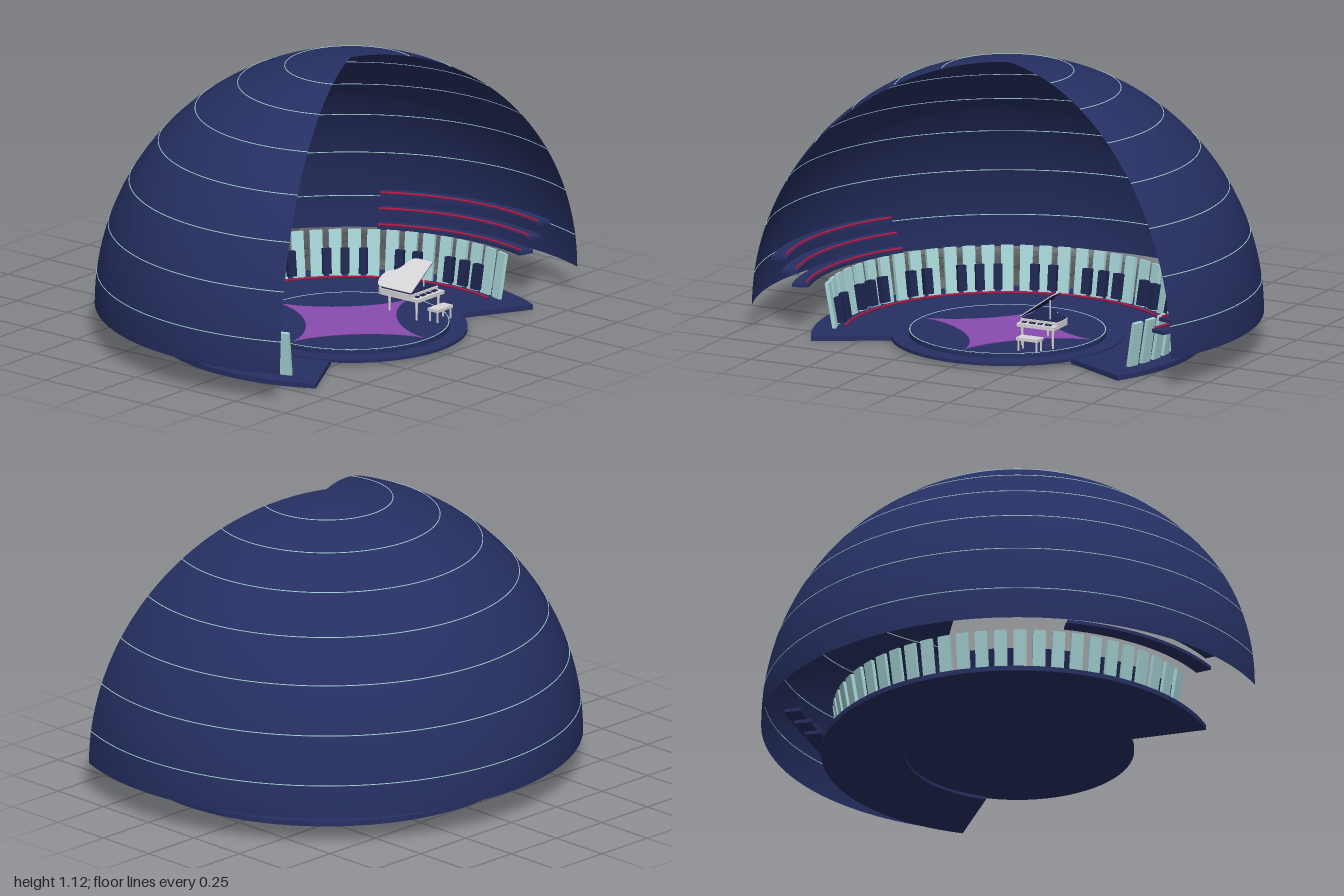
import * as THREE from 'three';

const mat = (name, color, side = THREE.FrontSide) => {
  const m = new THREE.MeshStandardMaterial({ color, side });
  m.name = name;
  return m;
};

export function createModel() {
  const navy = mat('navy', 0x262f62);
  const shellNavy = mat('shell navy', 0x262f62, THREE.DoubleSide);
  const dark = mat('dark navy', 0x1e2650);
  const aqua = mat('pale aqua', 0xa8d6d8);
  const crimson = mat('crimson', 0xa81c4a);
  const purple = mat('purple', 0x8a4bb0);
  const ivory = mat('ivory', 0xd8d6d8);

  const PI = Math.PI;
  const model = new THREE.Group();
  model.name = 'domedConcertHall';
  // Everything is laid out around the hall's axis; angles run from +x towards +z
  const hall = new THREE.Group();
  hall.name = 'hall';
  hall.position.z = 0.27;
  model.add(hall);

  const add = (parent, name, geometry, material, x = 0, y = 0, z = 0) => {
    const mesh = new THREE.Mesh(geometry, material);
    mesh.name = name;
    mesh.position.set(x, y, z);
    parent.add(mesh);
    return mesh;
  };
  const box = (parent, name, w, h, d, m, x, y, z) =>
    add(parent, name, new THREE.BoxGeometry(w, h, d), m, x, y, z);

  // Flat slab from an outline in x/z, with its top at y = 0
  const slab = (shape, depth, curveSegments = 64) =>
    new THREE.ExtrudeGeometry(shape, { depth, bevelEnabled: false, curveSegments }).rotateX(PI / 2);

  const sector = (inner, outer, a0, a1, depth) => {
    const s = new THREE.Shape();
    s.absarc(0, 0, outer, a0, a1, false);
    s.absarc(0, 0, inner, a1, a0, true);
    s.closePath();
    return slab(s, depth);
  };
  const arcTube = (radius, tube, a0, a1) =>
    new THREE.TorusGeometry(radius, tube, 6, 128, a1 - a0).rotateZ(a0).rotateX(PI / 2);

  // Open dome with a wedge cut from the front
  const cut = 0.4;
  add(hall, 'domeShell',
    new THREE.SphereGeometry(1, 96, 40, -PI - cut, PI + 2 * cut, 0, PI / 2), shellNavy, 0, 0.12, 0);

  // Fine bands around the dome
  for (let i = 0; i < 7; i++) {
    const e = THREE.MathUtils.degToRad(7.5 + 11.25 * i);
    add(hall, 'domeBand', arcTube(Math.cos(e), 0.002, PI - cut, 2 * PI + cut), aqua,
      0, 0.12 + Math.sin(e), 0);
  }

  // Floor and stepped round stage
  add(hall, 'floor', sector(0.44, 0.767, PI - 0.5, 2 * PI + 0.5, 0.02), navy, 0, 0.02, 0);
  add(hall, 'lowerStage', new THREE.CylinderGeometry(0.455, 0.455, 0.013, 96), navy, 0, 0.0185, 0);
  add(hall, 'upperStage', new THREE.CylinderGeometry(0.385, 0.385, 0.03, 96), navy, 0, 0.029, 0);
  add(hall, 'stageEdge', arcTube(0.382, 0.003, 0, 2 * PI), aqua, 0, 0.0425, 0);

  // Four-pointed carpet with hollow sides
  const star = new THREE.Shape();
  for (let i = 0; i < 64; i++) {
    const t = (i / 64) * 2 * PI;
    const x = 0.36 * Math.cos(t) ** 3, z = 0.36 * Math.sin(t) ** 3;
    if (i) star.lineTo(x, z); else star.moveTo(x, z);
  }
  star.closePath();
  add(hall, 'carpet', slab(star, 0.003), purple, 0, 0.047, 0);

  // Curved wall of keys, leaning outwards
  const wall = new THREE.Group();
  wall.name = 'keyWall';
  hall.add(wall);
  const count = 36, a0 = PI - 0.3, step = (PI + 0.6) / (count - 1);
  const pattern = [1, 1, 0, 1, 1, 1, 0];
  const longKey = new THREE.BoxGeometry(0.015, 0.182, 0.05);
  const shortKey = new THREE.BoxGeometry(0.03, 0.1, 0.034);
  const placeKey = (name, geo, m, angle, r, y) => {
    const holder = new THREE.Group();
    holder.name = name;
    holder.rotation.y = -angle;
    wall.add(holder);
    add(holder, name, geo, m, r, y, 0).rotation.z = -0.17;
  };
  for (let i = 0; i < count; i++) {
    placeKey('longKey', longKey, aqua, a0 + i * step, 0.698, 0.11);
    if (i < count - 1 && pattern[i % 7])
      placeKey('shortKey', shortKey, dark, a0 + (i + 0.5) * step, 0.672, 0.083);
  }
  add(hall, 'wallTrim', arcTube(0.645, 0.005, a0, 2 * PI + 0.3), crimson, 0, 0.026, 0);

  // Three balcony tiers on each side
  for (const side of [0, 1]) {
    const from = side ? PI - 0.3 : -0.55, to = side ? PI + 0.55 : 0.3;
    for (let i = 0; i < 3; i++) {
      const r = 0.8 + 0.04 * i, y = 0.188 + 0.053 * i;
      add(hall, 'balcony', sector(r - 0.01, r + 0.055, from, to, 0.014), navy, 0, y, 0);
      add(hall, 'balconyRail', arcTube(r, 0.005, from, to), crimson, 0, y + 0.005, 0);
    }
  }

  // Grand piano on the stage; local x/z start at the bass-side keyboard corner
  const piano = new THREE.Group();
  piano.name = 'piano';
  piano.position.set(0.15, 0, 0.18);
  hall.add(piano);
  const outline = new THREE.Shape();
  outline.moveTo(0, 0);
  outline.lineTo(0.165, 0);
  outline.lineTo(0.165, -0.07);
  outline.bezierCurveTo(0.165, -0.12, 0.1, -0.1, 0.085, -0.15);
  outline.bezierCurveTo(0.075, -0.19, 0, -0.19, 0, -0.15);
  outline.closePath();
  add(piano, 'pianoCase', slab(outline, 0.026, 12), ivory, 0, 0.147, 0);
  add(piano, 'pianoInterior', slab(outline, 0.003, 12).scale(0.94, 1, 0.94), dark, 0.005, 0.1495, -0.005);
  const lid = new THREE.Group();
  lid.name = 'pianoLid';
  lid.position.y = 0.153;
  lid.rotation.z = 0.62;
  piano.add(lid);
  add(lid, 'lidTop', slab(outline, 0.004, 12), ivory, 0, 0.004, 0);
  add(lid, 'lidUnderside', slab(outline, 0.002, 12), dark, 0, 0, 0);
  box(piano, 'lidProp', 0.004, 0.08, 0.004, ivory, 0.115, 0.187, -0.03);
  // Keyboard
  box(piano, 'keyShelf', 0.165, 0.014, 0.035, ivory, 0.0825, 0.128, 0.0165);
  for (let i = 0; i < 14; i++)
    if (pattern[i % 7]) box(piano, 'blackKey', 0.005, 0.005, 0.016, dark, 0.018 + i * 0.01, 0.137, 0.012);
  // Legs
  for (const [x, z] of [[0.015, 0.015], [0.15, 0.015], [0.045, -0.145]])
    add(piano, 'pianoLeg', new THREE.CylinderGeometry(0.006, 0.004, 0.08, 10), ivory, x, 0.084, z);

  // Stool
  const stool = new THREE.Group();
  stool.name = 'stool';
  stool.position.set(0.232, 0, 0.26);
  hall.add(stool);
  box(stool, 'stoolSeat', 0.095, 0.012, 0.05, ivory, 0, 0.092, 0);
  for (const x of [-0.04, 0.04]) for (const z of [-0.019, 0.019])
    box(stool, 'stoolLeg', 0.006, 0.044, 0.006, ivory, x, 0.066, z);

  return model;
}
